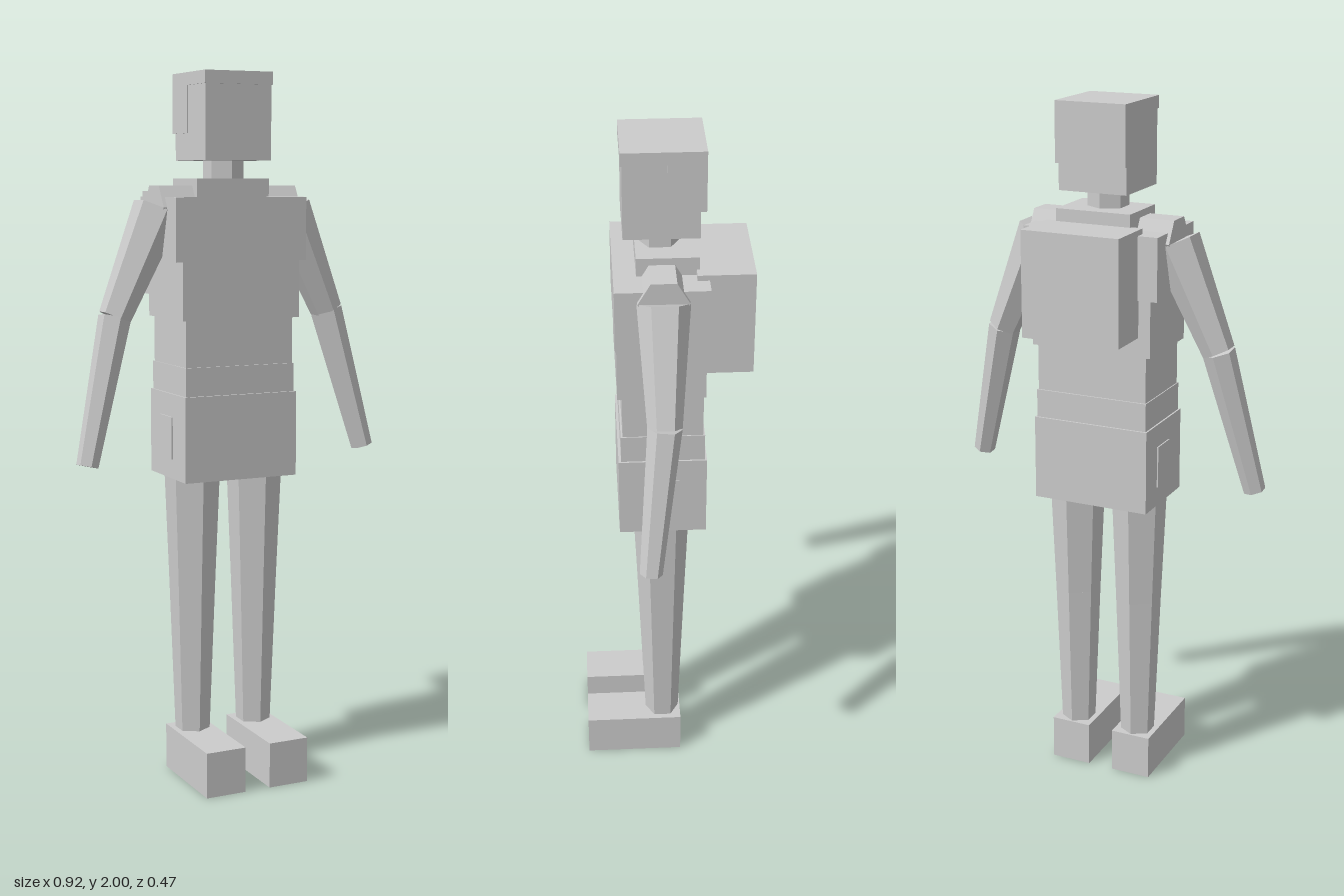
import * as THREE from 'three';

const grey = new THREE.MeshStandardMaterial({ color: 0xcccccc });
grey.name = 'light grey';

export function createModel() {
  const model = new THREE.Group();
  model.name = 'blockyFigure';

  const add = (name, geometry) => {
    const mesh = new THREE.Mesh(geometry, grey);
    mesh.name = name;
    model.add(mesh);
    return mesh;
  };

  // Box given by its extents on each axis
  const box = (name, x0, x1, y0, y1, z0, z1) => {
    const mesh = add(name, new THREE.BoxGeometry(x1 - x0, y1 - y0, z1 - z0));
    mesh.position.set((x0 + x1) / 2, (y0 + y1) / 2, (z0 + z1) / 2);
    return mesh;
  };

  // Faceted six-sided segment from a (radius ra) down to b (radius rb)
  const limb = (name, a, b, ra, rb) => {
    const top = new THREE.Vector3(...a), end = new THREE.Vector3(...b);
    const axis = top.clone().sub(end);
    const geometry = new THREE.CylinderGeometry(ra, rb, axis.length(), 6).toNonIndexed();
    geometry.computeVertexNormals();
    const mesh = add(name, geometry);
    mesh.position.copy(top).add(end).multiplyScalar(0.5);
    mesh.quaternion.setFromUnitVectors(new THREE.Vector3(0, 1, 0), axis.normalize());
    return mesh;
  };

  // Head with a cap of hair that reaches down the back
  box('head', -0.1, 0.1, 1.76, 1.98, -0.095, 0.105);
  box('hairTop', -0.103, 0.103, 1.965, 2, -0.11, 0.109);
  box('hairBack', -0.103, 0.103, 1.835, 1.965, -0.11, -0.01);

  // Neck and collar
  limb('neck', [0, 1.78, 0.007], [0, 1.68, 0.007], 0.057, 0.057);
  box('collar', -0.11, 0.11, 1.64, 1.71, -0.093, 0.072);

  // Torso
  box('chest', -0.2, 0.197, 1.485, 1.66, -0.117, 0.132);
  box('ribs', -0.178, 0.178, 1.325, 1.65, -0.11, 0.128);
  box('waist', -0.164, 0.164, 1.195, 1.33, -0.105, 0.115);
  box('belt', -0.167, 0.167, 1.115, 1.195, -0.11, 0.12);
  box('hips', -0.172, 0.172, 0.875, 1.115, -0.116, 0.127);
  box('backpack', -0.143, 0.143, 1.38, 1.675, -0.238, -0.085);

  for (const [side, s] of [['left', 1], ['right', -1]]) {
    // Shoulder bar, turned so that a flat side faces up
    const bar = new THREE.CylinderGeometry(0.068, 0.068, 0.21, 6).toNonIndexed();
    bar.computeVertexNormals();
    const shoulder = add(side + 'Shoulder', bar);
    shoulder.rotation.z = Math.PI / 2;
    shoulder.position.set(s * 0.105, 1.632, 0.005);

    // Arm, bent slightly forward at the elbow
    const elbow = [s * 0.331, 1.333, 0.009];
    limb(side + 'UpperArm', [s * 0.2, 1.627, 0.005], elbow, 0.07, 0.046);
    limb(side + 'Forearm', elbow, [s * 0.432, 0.931, 0.051], 0.046, 0.031);

    // Hip pocket plate
    const px = s * 0.172;
    box(side + 'Pocket', px - 0.004, px + 0.004, 0.93, 1.05, -0.04, 0.04);

    // Leg and foot
    const lx = s * 0.098, knee = [lx, 0.56, 0.006];
    limb(side + 'Thigh', [lx, 0.93, 0.007], knee, 0.081, 0.066);
    limb(side + 'Shin', knee, [lx, 0.1, 0.005], 0.066, 0.049);
    box(side + 'Foot', lx - 0.06, lx + 0.06, 0, 0.13, -0.05, 0.235);
  }

  return model;
}
